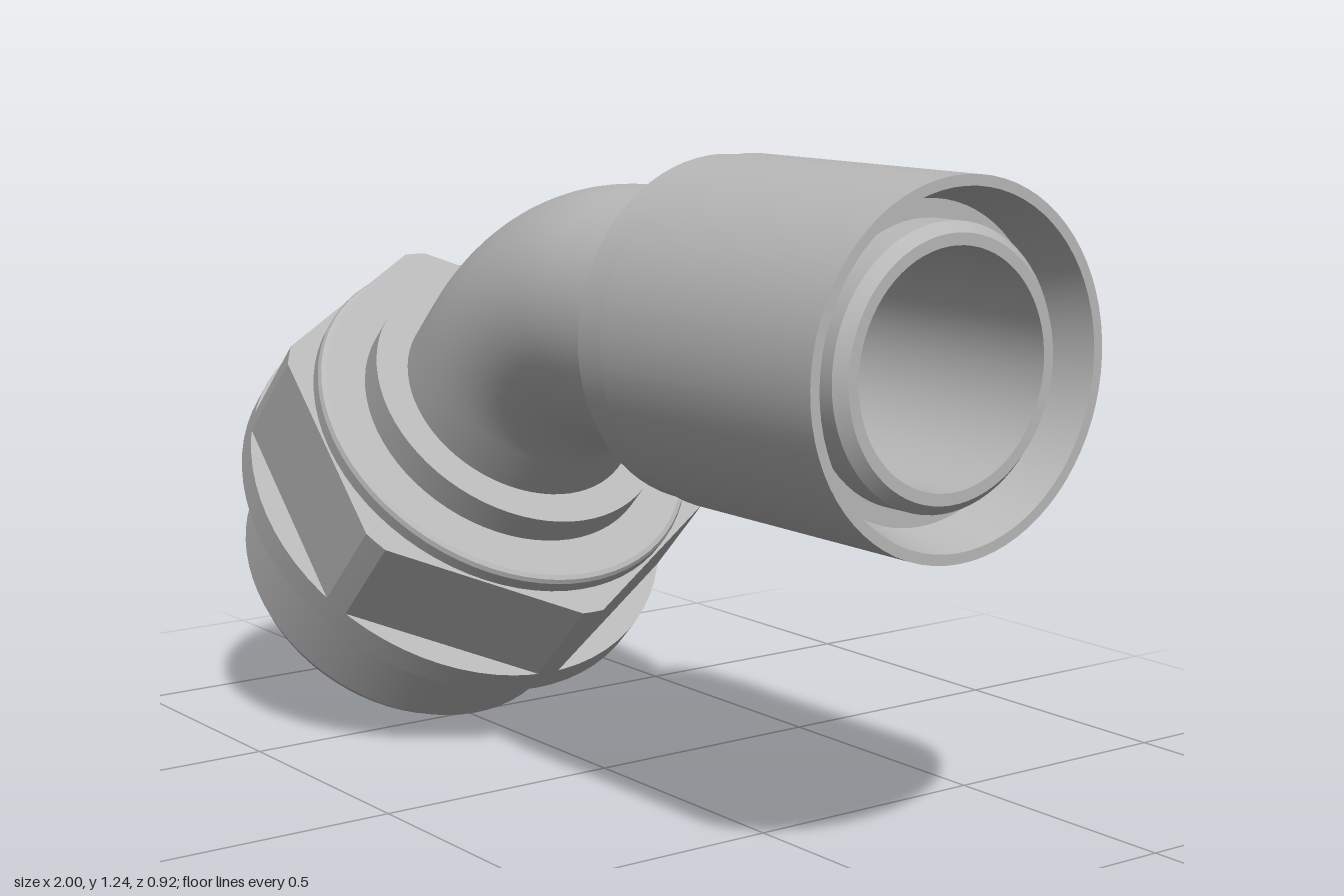
import * as THREE from 'three';
import { toCreasedNormals } from 'three/addons/utils/BufferGeometryUtils.js';

const steel = new THREE.MeshStandardMaterial({ color: 0xb8b8b8, side: THREE.DoubleSide });
steel.name = 'steel grey';

const SEGMENTS = 72;
const PIPE_Y = 0.92, BEND_X = 0.12, BEND_R = 0.483, BORE = 0.205;

function part(name, geometry) {
  const mesh = new THREE.Mesh(geometry, steel);
  mesh.name = name;
  return mesh;
}

// Turned part from [radius, height] pairs, with sharp corners kept
function turned(name, profile) {
  const points = profile.map(([r, h]) => new THREE.Vector2(r, h));
  return part(name, toCreasedNormals(new THREE.LatheGeometry(points, SEGMENTS), 0.4));
}

// Hexagon with its corners turned down to a radius, with a round hole
function hexNut(flat, corner, hole, height) {
  const shape = new THREE.Shape();
  const half = Math.acos(flat / corner);
  for (let i = 0; i < 6; i++) {
    const middle = Math.PI / 6 + i * Math.PI / 3;
    for (const a of [middle - half, middle + half, middle + Math.PI / 6]) {
      const x = corner * Math.cos(a), y = corner * Math.sin(a);
      if (i === 0 && a < middle) shape.moveTo(x, y);
      else shape.lineTo(x, y);
    }
  }
  shape.closePath();
  const round = new THREE.Path();
  round.absarc(0, 0, hole, 0, Math.PI * 2, true);
  shape.holes.push(round);
  const g = new THREE.ExtrudeGeometry(shape, { depth: height, bevelEnabled: false, curveSegments: 32 });
  g.rotateX(-Math.PI / 2);
  return toCreasedNormals(g, 0.2);
}

// Centre line: sloped straight, 45 degree bend, level straight
class ElbowLine extends THREE.Curve {
  constructor(start, endX) {
    super();
    this.start = start;
    this.arc = BEND_R * Math.PI / 4;
    const k = BEND_R * Math.SQRT1_2;
    this.bendStart = new THREE.Vector3(BEND_X - k, PIPE_Y - BEND_R + k, 0);
    this.first = start.distanceTo(this.bendStart);
    this.last = endX - BEND_X;
  }
  getPoint(t, target = new THREE.Vector3()) {
    const d = t * (this.first + this.arc + this.last);
    if (d < this.first) return target.lerpVectors(this.start, this.bendStart, d / this.first);
    if (d < this.first + this.arc) {
      const a = Math.PI * 0.75 - (d - this.first) / BEND_R;
      return target.set(BEND_X + BEND_R * Math.cos(a), PIPE_Y - BEND_R + BEND_R * Math.sin(a), 0);
    }
    return target.set(BEND_X + d - this.first - this.arc, PIPE_Y, 0);
  }
}

export function createModel() {
  const model = new THREE.Group();
  model.name = 'elbowFitting';

  // Sloped connector, built upright and tilted by 45 degrees
  const connector = new THREE.Group();
  connector.name = 'connector';
  connector.position.set(-0.75, 0.25, 0);
  connector.rotation.z = -Math.PI / 4;
  connector.add(turned('spigot', [
    [BORE, 0.65], [BORE, 0.12], [0.28, 0], [0.352, 0], [0.372, 0.03],
    [0.372, 0.19], [0.335, 0.215], [0.335, 0.28],
  ]));
  connector.add(turned('nutFlange', [
    [0.3, 0.267], [0.46, 0.267], [0.46, 0.325], [0.3, 0.325],
  ]));
  const nut = part('hexNut', hexNut(0.41, 0.46, 0.25, 0.227));
  nut.position.y = 0.32;
  connector.add(nut);
  connector.add(turned('nutFace', [
    [0.405, 0.54], [0.405, 0.572], [0.401, 0.581], [0.392, 0.585], [0.28, 0.585],
  ]));
  connector.add(turned('pipeCollar', [
    [0.31, 0.58], [0.31, 0.65], [BORE, 0.65],
  ]));
  model.add(connector);

  // Bent pipe with its bore
  const k = 0.65 * Math.SQRT1_2;
  const start = new THREE.Vector3(-0.75 + k, 0.25 + k, 0);
  model.add(part('bentPipe', new THREE.TubeGeometry(new ElbowLine(start, 0.96), 96, 0.244, SEGMENTS)));
  model.add(part('pipeBore', new THREE.TubeGeometry(new ElbowLine(start, 0.98), 96, BORE, SEGMENTS)));

  // Sleeve and pipe tip at the level end
  const end = new THREE.Group();
  end.name = 'sleeveEnd';
  end.position.y = PIPE_Y;
  end.rotation.z = -Math.PI / 2;
  end.add(turned('sleeve', [
    [0.24, 0.36], [0.316, 0.36], [0.316, 0.435], [0.322, 0.435], [0.322, 1],
    [0.303, 1], [0.276, 0.9], [0.24, 0.9],
  ]));
  end.add(turned('pipeTip', [[0.244, 0.96], [0.226, 0.98], [BORE, 0.98]]));
  model.add(end);

  return model;
}
